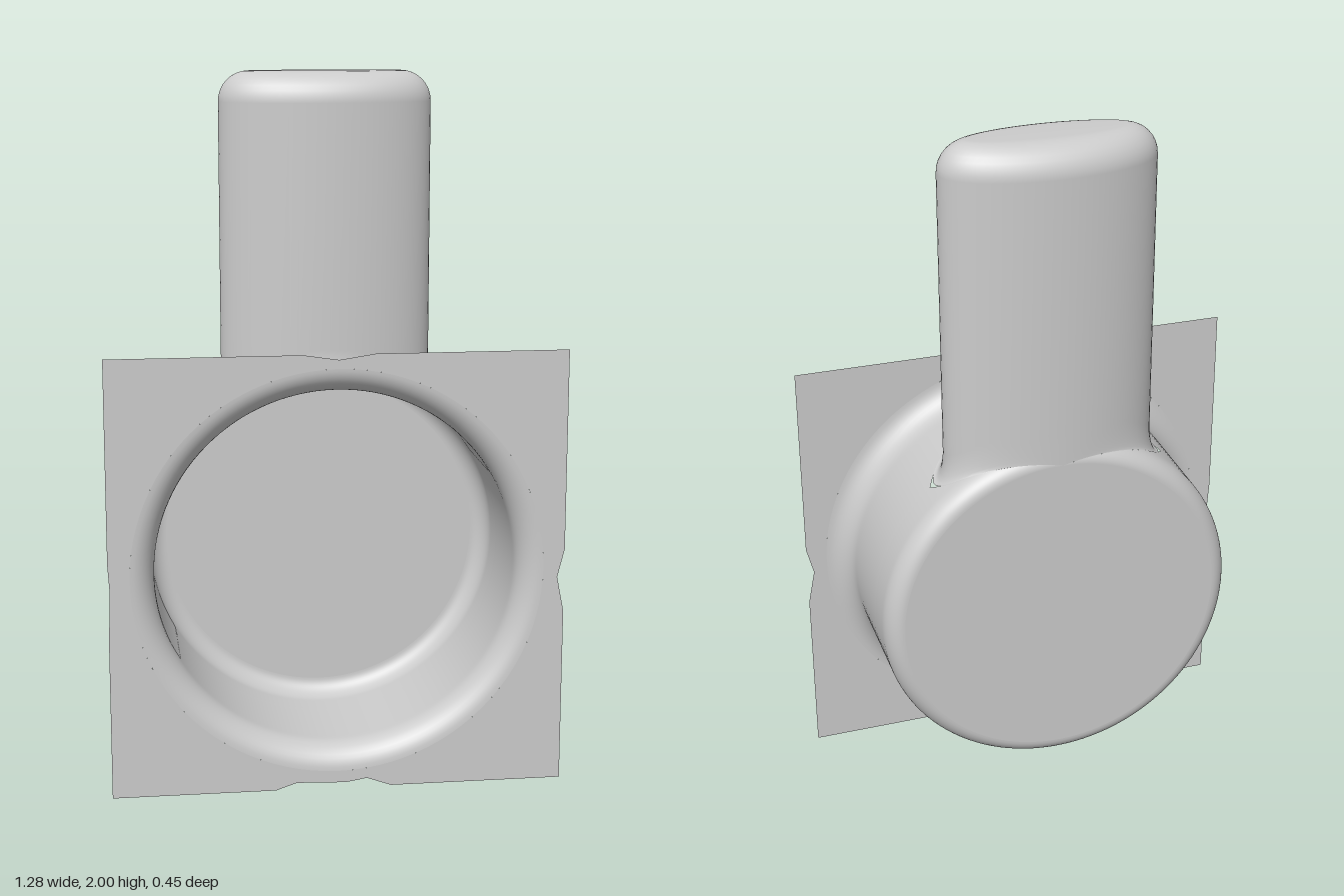
import * as THREE from 'three';
import { mergeVertices } from 'three/addons/utils/BufferGeometryUtils.js';

const CY = 0.63, R = 0.51;                 // cup centre height and wall radius
const FRONT = 0.225, BACK = -0.23;         // plate plane and cup floor plane
const A = 0.3, B = 0.135, ZC = -0.095;     // handle ellipse
const FLARE = 0.03;                        // fillet where the handle meets the cup

const material = new THREE.MeshStandardMaterial({ color: 0xcccccc, side: THREE.DoubleSide });

// Smooth surface from a rule point(i, j) over a rows x cols grid
function grid(rows, cols, point) {
  const pos = [], index = [];
  for (let i = 0; i <= rows; i++) {
    for (let j = 0; j <= cols; j++) {
      pos.push(...point(i, j));
      if (i < rows && j < cols) {
        const a = i * (cols + 1) + j, b = a + cols + 1;
        index.push(a, b, a + 1, b, b + 1, a + 1);
      }
    }
  }
  const g = new THREE.BufferGeometry();
  g.setAttribute('position', new THREE.Float32BufferAttribute(pos, 3));
  g.setIndex(index);
  const merged = mergeVertices(g, 1e-5);
  merged.computeVertexNormals();
  return merged;
}

// Cup radius at depth z: flared mouth, straight wall, rounded floor edge
function cupRadius(z) {
  const bend = u => 1 - Math.sqrt(Math.max(0, 1 - u * u));
  if (z > 0.15) return R + 0.07 * bend((z - 0.15) / (FRONT - 0.15));
  if (z < -0.17) return R - 0.05 * bend((-0.17 - z) / (-0.17 - BACK));
  return R;
}

// Handle outline at angle a, widened by f (the back stays flush with the cup floor)
function outline(a, f, inset = 0) {
  const s = Math.sin(a);
  return [(A + f - inset) * Math.cos(a), ZC + (B - inset + (s > 0 ? f : 0)) * s];
}

export function createModel() {
  const group = new THREE.Group();
  const add = (name, geometry) => {
    const mesh = new THREE.Mesh(geometry, material);
    mesh.name = name;
    group.add(mesh);
    return mesh;
  };

  // Thin square plate with a round opening and slightly uneven edges
  const plate = new THREE.Shape([
    [-0.64, 0], [-0.18, 0], [-0.12, 0.02], [0.02, 0.015], [0.08, 0.025], [0.15, 0], [0.64, 0],
    [0.64, 0.5], [0.62, 0.6], [0.64, 0.68], [0.64, 1.25], [0.1, 1.25], [0, 1.235], [-0.1, 1.25],
    [-0.64, 1.25], [-0.64, 0.68], [-0.635, 0.6], [-0.64, 0.45],
  ].map(p => new THREE.Vector2(...p)));
  plate.holes.push(new THREE.Path().absarc(0, CY, R + 0.07, 0, Math.PI * 2, true));
  add('plate', new THREE.ShapeGeometry(plate, 48)).position.z = FRONT;

  // Cup wall in two bands, parted where the hollow handle opens into it
  const cols = 120;
  const wallBand = (name, isFront) => add(name, grid(20, cols, (i, j) => {
    const th = -j / cols * Math.PI * 2;
    const k = Math.cos(th) > 0 ? R * Math.sin(th) / (A + FLARE) : 1;
    const gap = Math.sqrt(Math.max(0, 1 - k * k));
    const seam = ZC + gap * (isFront ? B + FLARE : -B);
    const t = i / 20;
    const z = isFront
      ? seam + (FRONT - seam) * Math.cos(t * Math.PI / 2)
      : seam + (BACK - seam) * Math.sin(t * Math.PI / 2);
    const r = cupRadius(z);
    return [r * Math.sin(th), CY + r * Math.cos(th), z];
  }));
  wallBand('cupWallFront', true);
  wallBand('cupWallBack', false);

  // Flat cup floor
  const floor = add('cupFloor', new THREE.CircleGeometry(R - 0.05, cols));
  floor.position.set(0, CY, BACK);
  floor.rotation.y = Math.PI;

  // Hollow oval handle: filleted foot, straight shaft, rounded closed end
  const foot = 6, cap = 8, edge = 0.085, shaftTop = 2 - edge;
  add('handle', grid(foot + cap + 2, 64, (i, j) => {
    const a = j / 64 * Math.PI * 2;
    if (i <= foot) {
      const t = i / foot * Math.PI / 2;
      const [bx, bz] = outline(a, FLARE);
      const r = cupRadius(bz), sin = bx / R;
      const base = CY + r * Math.sqrt(1 - sin * sin);
      const [x, z] = outline(a, FLARE * (1 - Math.sin(t)));
      const rise = 1 - Math.cos(t);
      return [x * (rise + (1 - rise) * r / R), base + 0.09 * rise, z];
    }
    if (i > foot + cap + 1) return [0, 2, ZC];
    const t = (i - foot - 1) / cap * Math.PI / 2;
    const [x, z] = outline(a, 0, edge * (1 - Math.cos(t)));
    return [x, shaftTop + edge * Math.sin(t), z];
  }));

  return group;
}
